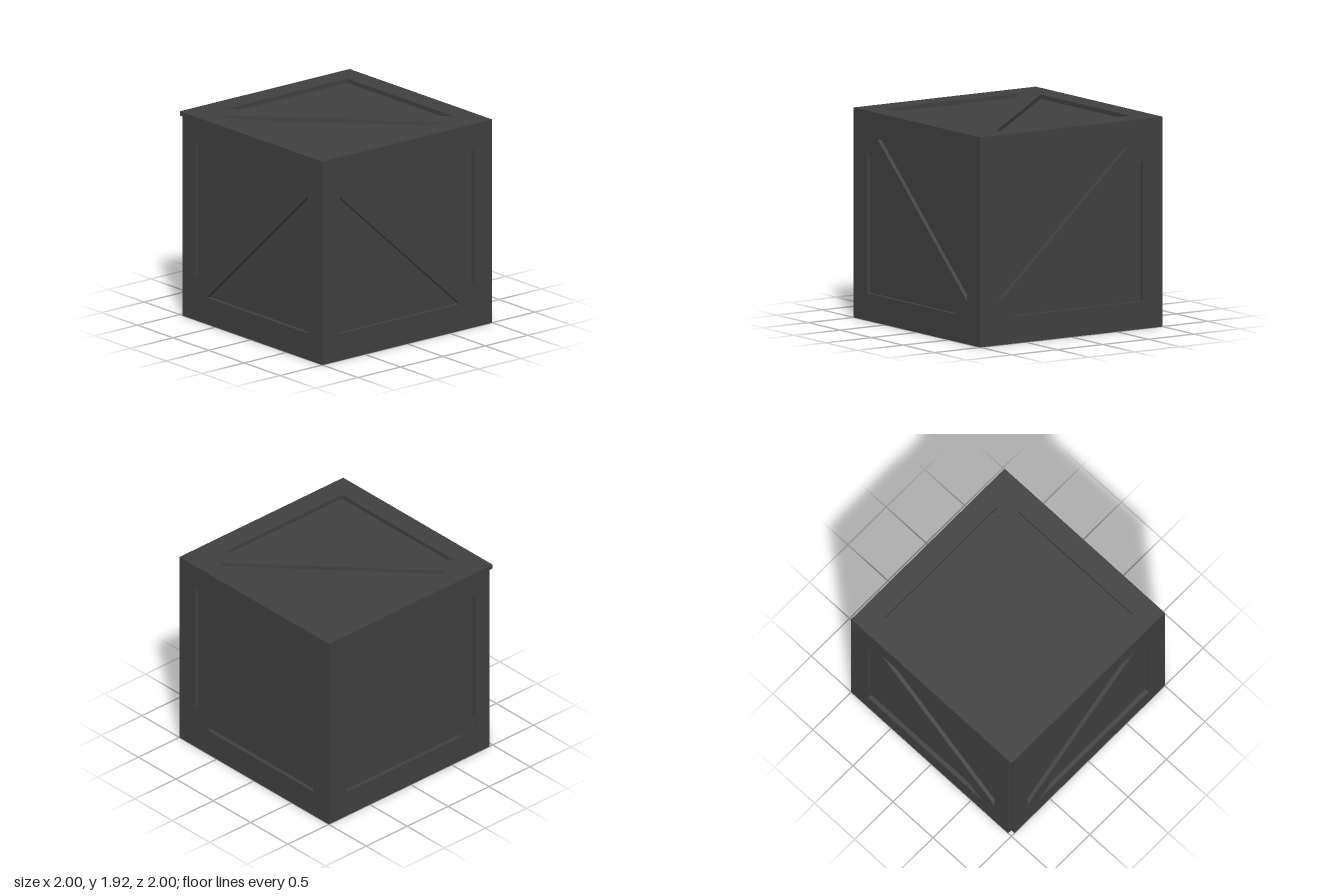
import * as THREE from 'three';

const T = 0.04; // board thickness
const H = 1.92; // crate height
const IN = 1 - T; // distance from the centre to the recessed panels

const wood = new THREE.MeshStandardMaterial({ color: 0x404040, flatShading: true });

const rect = (C, [u0, u1, v0, v1]) =>
  new C([[u0, v0], [u1, v0], [u1, v1], [u0, v1]].map(([u, v]) => new THREE.Vector2(u, v)));

function board(name, shape, depth) {
  const mesh = new THREE.Mesh(new THREE.ExtrudeGeometry(shape, { depth, bevelEnabled: false }), wood);
  mesh.name = name;
  return mesh;
}

// One face: a frame around a window, plus a diagonal brace cut to fit its corners.
// du, dv are the lengths cut along the window edges; falling braces run top left to bottom right.
function face(name, outer, win, { du, dv, falling = false }) {
  const group = new THREE.Group();
  group.name = name;
  const frame = rect(THREE.Shape, outer);
  frame.holes.push(rect(THREE.Path, win));
  group.add(board(name + 'Frame', frame, T));

  const [u0, u1, v0, v1] = win;
  const [a, b] = falling ? [u1, u0] : [u0, u1];
  const s = Math.sign(b - a);
  const brace = new THREE.Shape([
    [a, v0], [a + s * du, v0], [b, v1 - dv], [b, v1], [b - s * du, v1], [a, v0 + dv],
  ].map(([u, v]) => new THREE.Vector2(u, v)));
  group.add(board(name + 'Brace', brace, T - 0.003));
  return group;
}

export function createModel() {
  const crate = new THREE.Group();
  crate.name = 'crate';

  // recessed panels
  const core = new THREE.Mesh(new THREE.BoxGeometry(2 * IN, H - 2 * T, 2 * IN), wood);
  core.name = 'innerPanels';
  core.position.y = H / 2;
  crate.add(core);

  // four walls; the front left corner is left open by one board thickness
  const win = [-0.79, 0.79, 0.25, 1.68];
  const top = H - T;
  const walls = [
    ['front', 0, -IN, 1, false],
    ['right', 1, -IN, IN, true],
    ['back', 2, -1, 1, false],
    ['left', 3, -IN, IN, true],
  ];
  for (const [name, turn, u0, u1, falling] of walls) {
    const wall = face(name, [u0, u1, 0, top], win, { du: 0.166, dv: 0.14, falling });
    const angle = turn * Math.PI / 2;
    wall.rotation.y = angle;
    wall.position.set(Math.sin(angle) * IN, 0, Math.cos(angle) * IN);
    crate.add(wall);
  }

  // lid and base
  const flatWin = [-0.79, 0.79, -0.795, 0.795];
  const cut = { du: 0.1, dv: 0.172 };
  const lid = face('lid', [-1, 1, -1, 1], flatWin, cut);
  lid.rotation.x = -Math.PI / 2;
  lid.position.y = top;
  const base = face('base', [-IN, IN, -IN, IN], flatWin, cut);
  base.rotation.x = Math.PI / 2;
  base.position.y = T;
  crate.add(lid, base);
  return crate;
}
